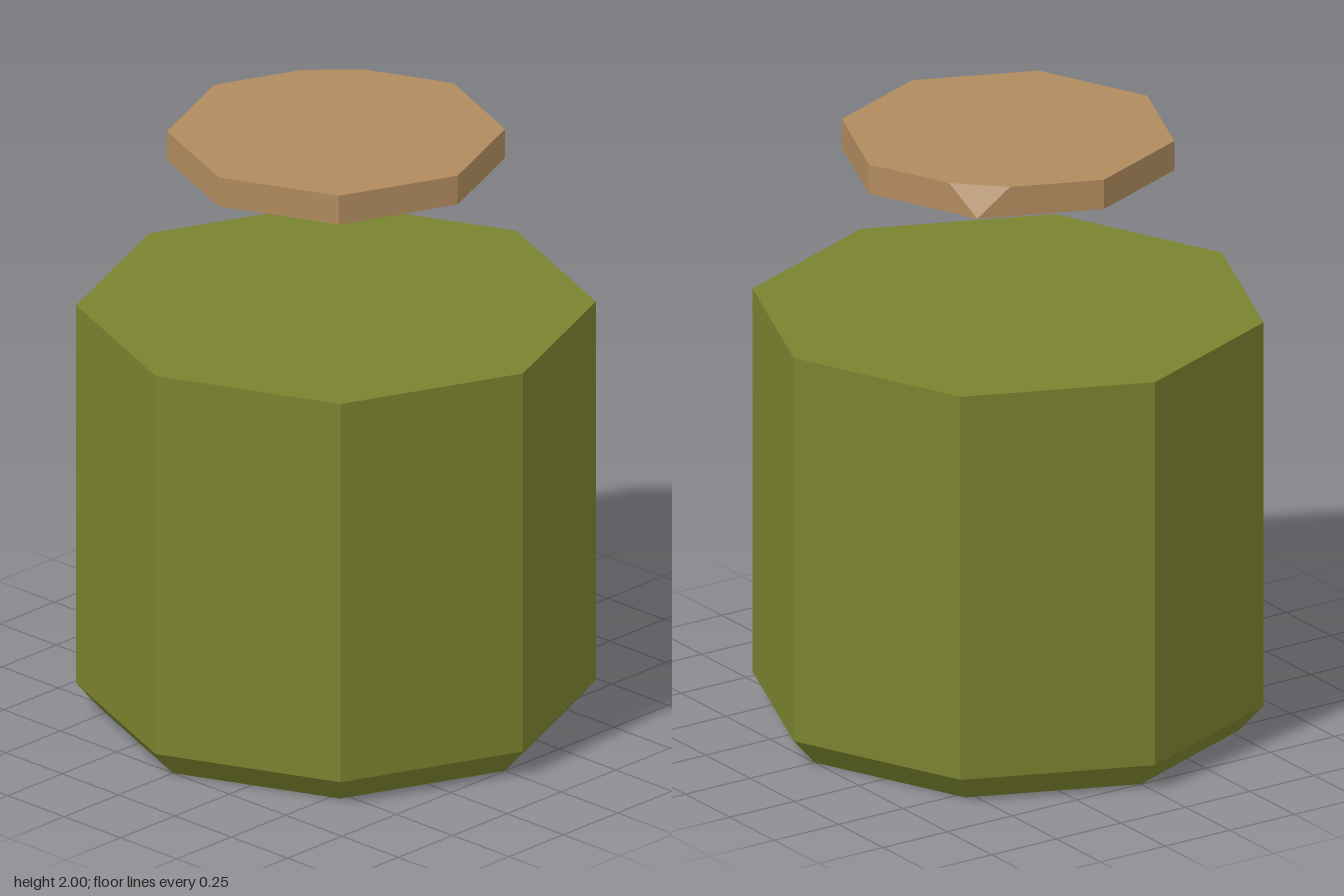
import * as THREE from 'three';
import { ConvexGeometry } from 'three/addons/geometries/ConvexGeometry.js';

const SIDES = 8;

// Corners of a regular octagon at height y, one corner facing +z
function ring(radius, y) {
  return Array.from({ length: SIDES }, (_, i) => {
    const a = (i / SIDES) * Math.PI * 2;
    return new THREE.Vector3(Math.sin(a) * radius, y, Math.cos(a) * radius);
  });
}

export function createModel() {
  const olive = new THREE.MeshStandardMaterial({ color: 0x7a822e });
  olive.name = 'olive';
  const cork = new THREE.MeshStandardMaterial({ color: 0xb08a5e });
  cork.name = 'cork';

  const model = new THREE.Group();
  model.name = 'jar';
  const add = (name, geometry, material) => {
    const mesh = new THREE.Mesh(geometry, material);
    mesh.name = name;
    model.add(mesh);
  };

  // Body: closed octagonal prism with a bevelled foot
  const body = new THREE.LatheGeometry(
    [[0, 0], [0.75, 0], [0.83, 0.09], [0.83, 1.4], [0, 1.4]].map(([r, y]) => new THREE.Vector2(r, y)),
    SIDES
  ).toNonIndexed();
  body.computeVertexNormals();
  add('body', body, olive);

  // Lid: floating octagonal disc, its back right top corner chipped off
  const top = ring(0.54, 2);
  const chipped = 5;
  const corner = top[chipped];
  const cut = [top[chipped - 1], top[chipped + 1]].map((n) => corner.clone().lerp(n, 0.26));
  top.splice(chipped, 1, ...cut);
  add('lid', new ConvexGeometry([...ring(0.54, 1.9), ...top]), cork);

  return model;
}
